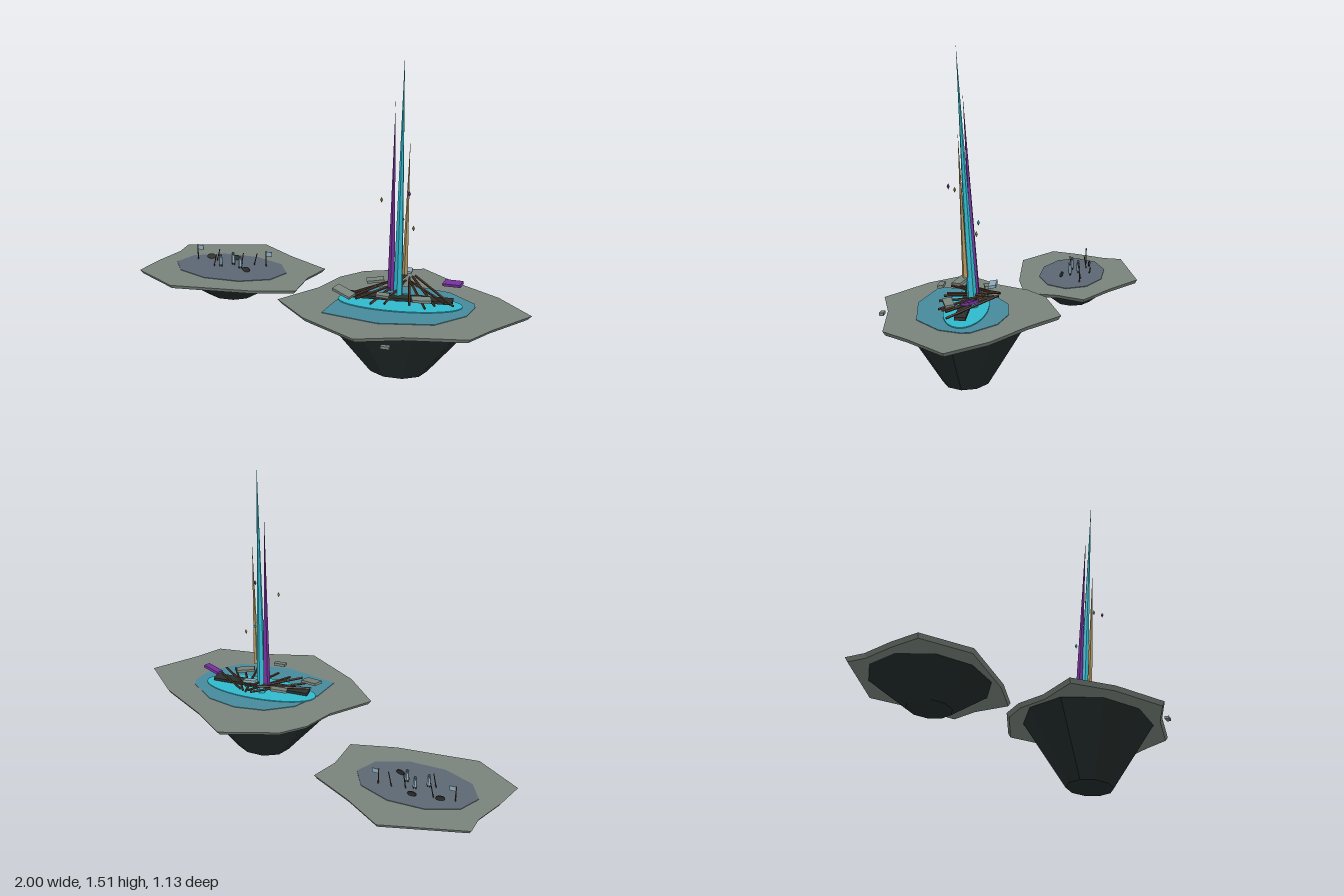
import * as THREE from 'three';

const mat = (name, color, flatShading = true) => {
  const m = new THREE.MeshStandardMaterial({ color, flatShading });
  m.name = name;
  return m;
};

export function createModel() {
  const root = new THREE.Group();
  root.name = 'floatingIslands';
  const M = {
    stone: mat('stone', 0x78837b),
    rock: mat('darkRock', 0x222b2a),
    teal: mat('shallowWater', 0x47899a),
    cyan: mat('brightCyan', 0x2fb8cc),
    purple: mat('purple', 0x74309a),
    tan: mat('sandstone', 0xb09560),
    brown: mat('timber', 0x4a3529),
    slate: mat('slate', 0x5c6773),
    pale: mat('paleBlue', 0x8caabb),
    charcoal: mat('charcoal', 0x2c302d),
  };

  const add = (name, geo, material, p = [0, 0, 0], r = [0, 0, 0], parent = root) => {
    const mesh = new THREE.Mesh(geo, material);
    mesh.name = name;
    mesh.position.set(...p);
    mesh.rotation.set(...r);
    parent.add(mesh);
    return mesh;
  };

  // Horizontal plate from an x,z outline; the bottom shrinks toward a centre
  const plate = (pts, depth, centre = [0, 0], shrink = 1) => {
    const shape = new THREE.Shape(pts.map(([x, z]) => new THREE.Vector2(x, z)));
    const geo = new THREE.ExtrudeGeometry(shape, { depth, bevelEnabled: false });
    geo.rotateX(Math.PI / 2);
    const p = geo.attributes.position;
    for (let i = 0; i < p.count; i++) {
      if (p.getY(i) > -depth / 2) continue;
      p.setX(i, centre[0] + (p.getX(i) - centre[0]) * shrink);
      p.setZ(i, centre[1] + (p.getZ(i) - centre[1]) * shrink);
    }
    geo.computeVertexNormals();
    return geo;
  };

  // Rod or tapering spike between two points
  const rod = (name, a, b, r0, r1, sides, material, parent = root) => {
    const va = new THREE.Vector3(...a), vb = new THREE.Vector3(...b);
    const dir = vb.clone().sub(va);
    const mesh = add(name, new THREE.CylinderGeometry(r1, r0, dir.length(), sides), material,
      va.clone().add(vb).multiplyScalar(0.5).toArray(), [0, 0, 0], parent);
    mesh.quaternion.setFromUnitVectors(new THREE.Vector3(0, 1, 0), dir.normalize());
    return mesh;
  };

  // Island: rim slab plus faceted tapering underside
  const island = (name, outline, c, top, depth, bottom, r0, r1) => {
    const g = new THREE.Group();
    g.name = name;
    root.add(g);
    add('rimSlab', plate(outline, depth, c, 0.97), M.stone, [0, top, 0], [0, 0, 0], g);
    const h = top - depth - bottom;
    const under = new THREE.CylinderGeometry(r0, r1, h, 10);
    under.rotateY(Math.PI / 2);
    under.scale(1, 1, 0.765);
    add('underside', under, M.rock, [c[0], bottom + h / 2, c[1]], [0, 0, 0], g);
    return g;
  };

  // Large island with two layers of water
  const big = island('largeIsland', [
    [0.43, -0.28], [0.6, -0.16], [0.83, -0.03], [1, 0.13], [0.845, 0.32], [0.765, 0.44], [0.48, 0.49],
    [0.27, 0.56], [0, 0.41], [-0.165, 0.25], [-0.015, 0.07], [0.05, -0.075], [0.15, -0.175],
  ], [0.39, 0.15], 0.333, 0.02, 0, 0.395, 0.143);
  add('shallowPool', plate([
    [0.74, 0.11], [0.715, 0.21], [0.59, 0.335], [0.34, 0.385], [0.07, 0.34], [0.1, 0.2],
    [0.17, 0.065], [0.3, -0.025], [0.45, -0.052], [0.6, -0.025], [0.73, 0.07],
  ], 0.004), M.teal, [0, 0.336, 0], [0, 0, 0], big);
  const pool = new THREE.CylinderGeometry(0.29, 0.29, 0.005, 36);
  pool.scale(1, 1, 0.345);
  add('brightPool', pool, M.cyan, [0.395, 0.338, 0.15], [0, 0.08, 0], big);

  // Small island with slate floor
  const small = island('smallIsland', [
    [-0.48, -0.567], [-0.3, -0.445], [-0.09, -0.33], [-0.145, -0.2], [-0.16, -0.03], [-0.38, -0.027 + 0.054],
    [-0.78, 0.065], [-1, -0.075], [-0.957, -0.215], [-0.893, -0.365], [-0.885, -0.457],
  ], [-0.563, -0.23], 0.253, 0.018, 0.112, 0.325, 0.122);
  const floor = new THREE.CylinderGeometry(0.295, 0.295, 0.004, 10);
  floor.rotateY(Math.PI / 2);
  floor.scale(1, 1, 0.57);
  add('slateFloor', floor, M.slate, [-0.56, 0.254, -0.225], [0, 0, 0], small);

  // Three tall spires
  rod('mainSpire', [0.38, 0.335, 0.125], [0.4, 1.515, 0.187], 0.024, 0, 6, M.cyan);
  rod('purpleSpire', [0.346, 0.385, 0.115], [0.36, 1.305, 0.167], 0.018, 0, 5, M.purple);
  rod('sandSpire', [0.416, 0.485, 0.15], [0.431, 1.14, 0.176], 0.014, 0, 5, M.tan);

  // Fallen plank and fan of timber beams
  add('plank', new THREE.BoxGeometry(0.5, 0.014, 0.05), M.charcoal, [0.39, 0.363, 0.15], [0, 0.07, 0]);
  const ends = [
    [0.14, 0.2], [0.18, 0.225], [0.21, 0.255], [0.28, 0.26], [0.345, 0.262],
    [0.46, 0.262], [0.53, 0.25], [0.57, 0.225], [0.61, 0.2], [0.65, 0.19],
  ];
  ends.forEach(([x, z], i) => rod('beam', [0.375 + i * 0.007, 0.415 - (i % 3) * 0.006, i % 2 ? 0.0 : 0.05],
    [x, 0.368 + (i % 3) * 0.008, z], 0.006, 0.006, 5, M.brown));

  // Loose tilted slabs
  const slabs = [
    [M.stone, 0.145, 0.395, 0.22, 0.1, 0.05, 0.1, -0.42, -0.17],
    [M.stone, 0.262, 0.405, 0.075, 0.082, 0.035, 0.1, 0.25, 0.08],
    [M.stone, 0.34, 0.424, 0.275, 0.06, 0.028, 0.15, 0, -0.05],
    [M.stone, 0.505, 0.392, 0.21, 0.09, 0.042, 0.1, 0.35, -0.12],
    [M.purple, 0.63, 0.435, 0.09, 0.09, 0.04, 0.2, -0.25, 0.17],
    [M.pale, 0.395, 0.453, 0.03, 0.065, 0.034, 0.2, 0, -0.12],
    [M.stone, 0.41, 0.3, 0.535, 0.04, 0.02, 0, 0, 0],
  ];
  for (const [m, x, y, z, w, d, ...r] of slabs)
    add('looseSlab', new THREE.BoxGeometry(w, 0.013, d), m, [x, y, z], r);

  // Hovering shards
  const shards = [[0.315, 0.86, 0.215, M.tan], [0.44, 0.9, 0.218, M.purple],
    [0.39, 0.73, 0.095, M.cyan], [0.44, 0.69, 0.095, M.tan]];
  for (const [x, y, z, m] of shards)
    add('shard', new THREE.OctahedronGeometry(0.014), m, [x, y, z]).scale.set(0.5, 1, 0.5);

  // Banners on poles
  for (const x of [-0.76, -0.39]) {
    rod('bannerPole', [x, 0.253, -0.28], [x, 0.338, -0.28], 0.003, 0.003, 5, M.brown, small);
    add('banner', new THREE.BoxGeometry(0.03, 0.024, 0.003), M.pale, [x + 0.016, 0.324, -0.28], [0, 0, 0], small);
  }

  // Standing figures
  for (const [x, z] of [[-0.615, -0.22], [-0.56, -0.257], [-0.51, -0.22]]) {
    rod('figureBody', [x, 0.268, z], [x, 0.308, z], 0.011, 0.008, 6, M.pale, small);
    add('figureHead', new THREE.IcosahedronGeometry(0.009, 0), M.slate, [x, 0.317, z], [0, 0, 0], small);
    for (const s of [-1, 1])
      rod('figureLeg', [x + s * 0.006, 0.254, z], [x + s * 0.005, 0.27, z], 0.003, 0.003, 4, M.charcoal, small);
  }

  // Leaning shields and spears
  for (const [x, z, ry] of [[-0.695, -0.302, 0.2], [-0.565, -0.317, 0], [-0.465, -0.18, -0.25]]) {
    const shield = new THREE.CylinderGeometry(0.022, 0.022, 0.006, 12);
    shield.scale(1, 1, 0.6);
    shield.rotateX(Math.PI / 2 - 0.15);
    add('shield', shield, M.charcoal, [x, 0.271, z], [0, ry, 0], small);
  }
  for (const [x, z, dx] of [[-0.66, -0.29, 0.02], [-0.65, -0.215, 0.018], [-0.455, -0.28, 0.02], [-0.52, -0.27, 0.015]])
    rod('spear', [x, 0.254, z], [x + dx, 0.325, z + 0.01], 0.0025, 0.0025, 4, M.brown, small);

  return root;
}
